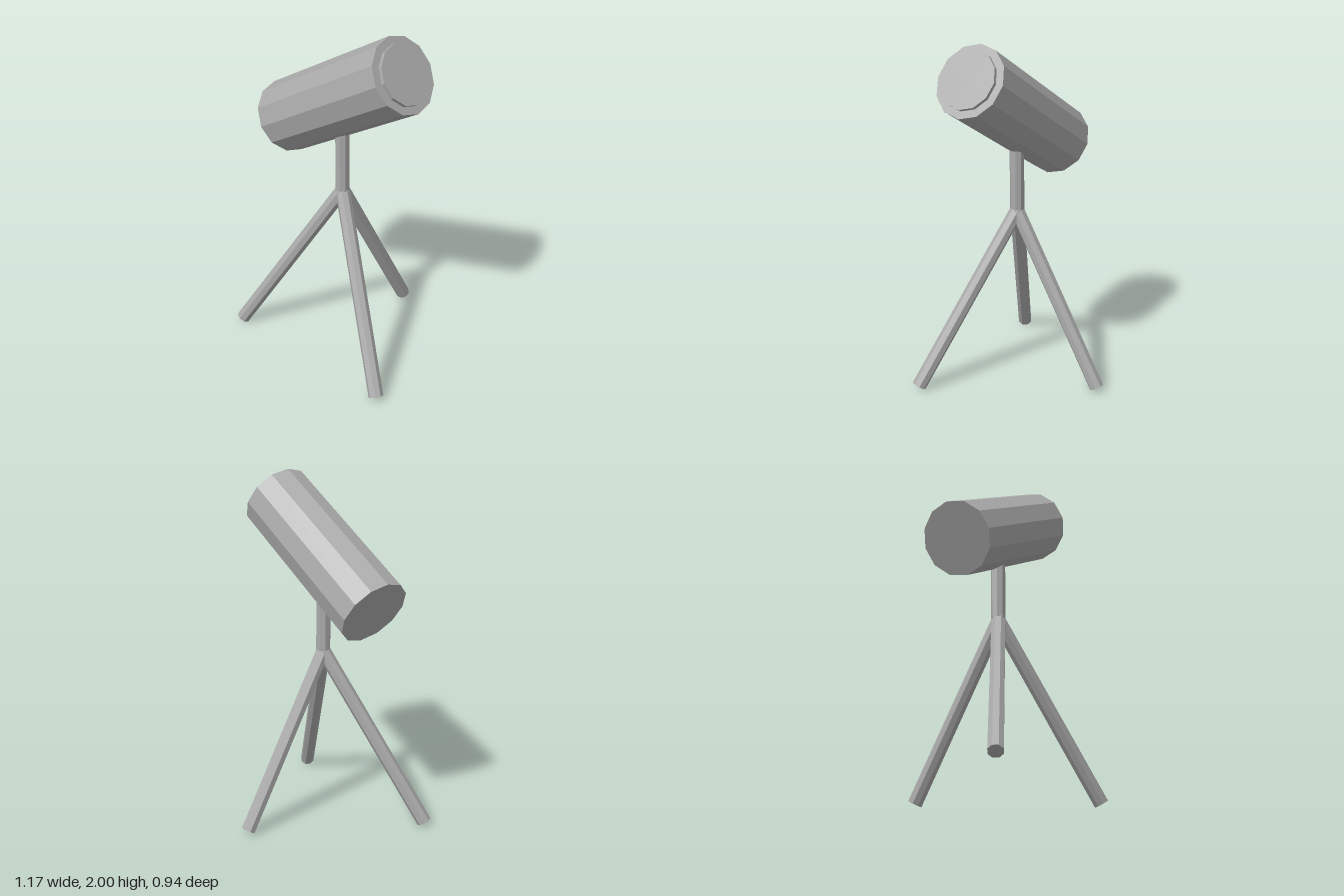
import * as THREE from 'three';

export function createModel() {
  const model = new THREE.Group();
  model.name = 'tripodTelescope';
  const grey = new THREE.MeshStandardMaterial({ color: 0xaaaaaa });
  grey.name = 'grey';
  grey.flatShading = true;

  const cylinder = (name, radius, length, sides, turn = 0) => {
    const geometry = new THREE.CylinderGeometry(radius, radius, length, sides);
    geometry.rotateY(turn);
    const mesh = new THREE.Mesh(geometry, grey);
    mesh.name = name;
    return mesh;
  };

  // Everything hangs on one vertical axis
  const axisZ = 0.108;
  const hubY = 1.0;
  const rodRadius = 0.042;

  // Tilted barrel with a lens plate at its raised end
  const barrel = new THREE.Group();
  barrel.name = 'barrel';
  const length = 0.99;
  barrel.add(cylinder('tube', 0.209, length, 12));
  const lens = cylinder('lens', 0.165, 0.06, 12);
  lens.position.y = length / 2 - 0.01;
  barrel.add(lens);
  barrel.position.set(0, 1.575, axisZ);
  barrel.rotation.z = -Math.PI / 3;
  model.add(barrel);

  // Central post
  const post = cylinder('post', rodRadius, 0.42, 8, Math.PI / 8);
  post.position.set(0, hubY + 0.22, axisZ);
  model.add(post);

  // Legs: heading around the axis and horizontal reach of each foot
  const legs = [
    ['leftLeg', Math.PI / 3, 0.636],
    ['rightLeg', -Math.PI / 3, 0.636],
    ['rearLeg', Math.PI, 0.55],
  ];
  for (const [name, heading, reach] of legs) {
    const drop = hubY - 0.022;
    const legLength = Math.hypot(reach, drop);
    const leg = cylinder(name, rodRadius, legLength, 8, Math.PI / 8);
    leg.geometry.translate(0, -legLength / 2, 0);
    leg.rotation.order = 'YXZ';
    leg.rotation.set(-Math.atan2(reach, drop), heading, 0);
    leg.position.set(0, hubY, axisZ);
    model.add(leg);
  }

  return model;
}
